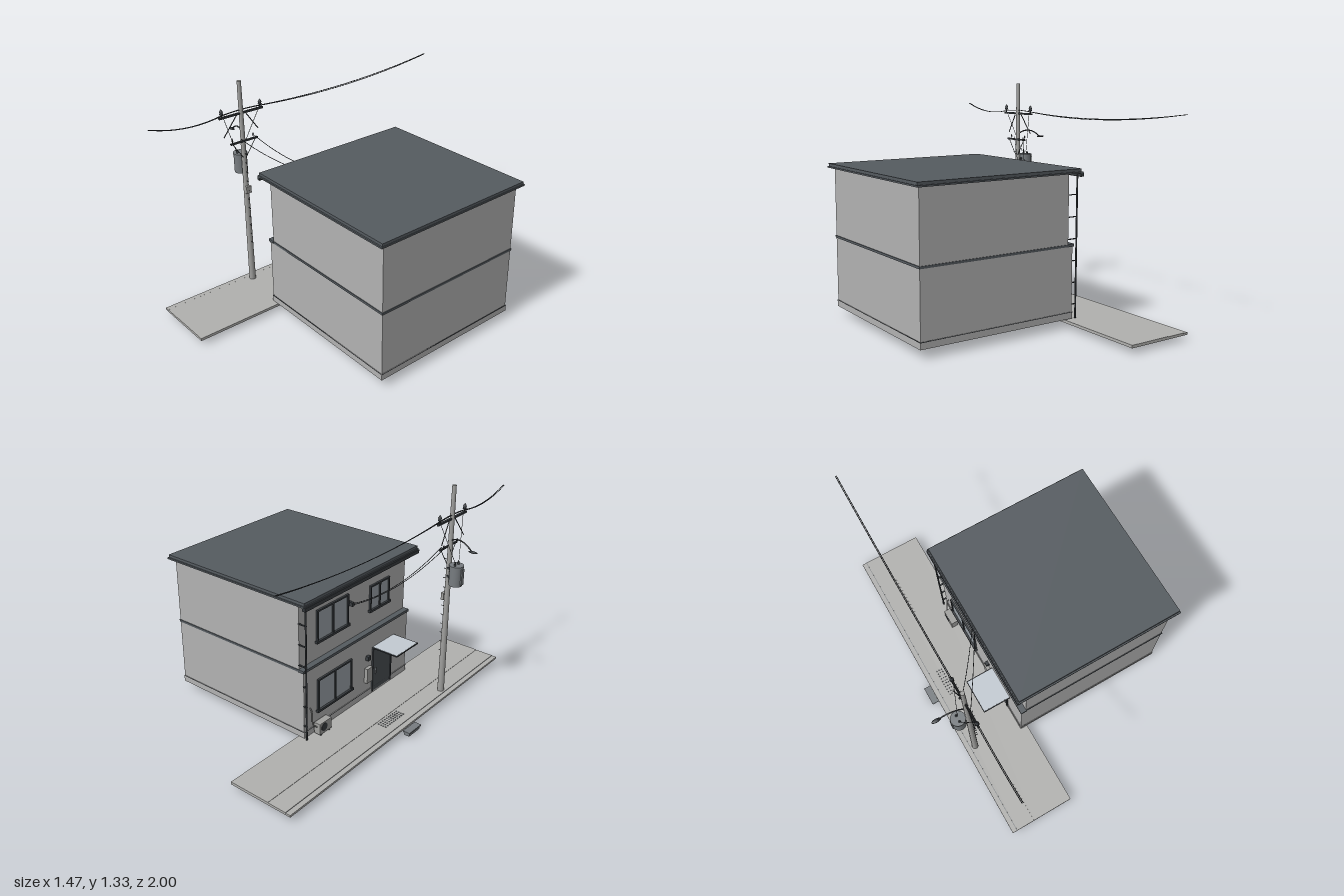
import * as THREE from 'three';

export function createModel() {
  const model = new THREE.Group();
  const mat = (name, color) => Object.assign(new THREE.MeshStandardMaterial({ color }), { name });
  const wall = mat('wall', 0xb2b2b2);
  const concrete = mat('concrete', 0xb0b0ae);
  const roofing = mat('roofing', 0x555b60);
  const metal = mat('dark metal', 0x383c40);
  const poleGrey = mat('pole grey', 0xa0a09e);
  const steel = mat('painted steel', 0x777c80);
  const glass = mat('glass', 0x9aa2a8);
  const sheet = mat('awning sheet', 0xc2cad2);
  const doorGrey = mat('door grey', 0x4a4f53);

  const add = (name, geo, m, parent = model) => {
    const mesh = new THREE.Mesh(geo, m);
    mesh.name = name;
    parent.add(mesh);
    return mesh;
  };
  const box = (name, m, x0, x1, y0, y1, z0, z1, parent) => {
    const mesh = add(name, new THREE.BoxGeometry(x1 - x0, y1 - y0, z1 - z0), m, parent);
    mesh.position.set((x0 + x1) / 2, (y0 + y1) / 2, (z0 + z1) / 2);
    return mesh;
  };
  const cyl = (name, m, x, y, z, h, rBottom, rTop = rBottom, parent = model) => {
    const mesh = add(name, new THREE.CylinderGeometry(rTop, rBottom, h, 16), m, parent);
    mesh.position.set(x, y + h / 2, z);
    return mesh;
  };
  const tube = (name, m, points, r, parent) => add(name, new THREE.TubeGeometry(
    new THREE.CatmullRomCurve3(points.map(p => new THREE.Vector3(...p))), 32, r, 6), m, parent);
  // wire hanging between two points with a parabolic sag
  const wire = (name, a, b, sag, r = 0.002) => {
    const points = [];
    for (let i = 0; i <= 10; i++) {
      const t = i / 10;
      const p = a.map((v, k) => v + (b[k] - v) * t);
      p[1] -= 4 * sag * t * (1 - t);
      points.push(p);
    }
    tube(name, metal, points, r);
  };
  const group = name => {
    const g = new THREE.Group();
    g.name = name;
    model.add(g);
    return g;
  };

  // House body: the street wall of the upper floor steps back
  const house = group('house');
  box('plinth', wall, -0.256, 0.709, 0.05, 0.088, -0.482, 0.482, house);
  box('lowerFloor', wall, -0.252, 0.706, 0.088, 0.458, -0.479, 0.479, house);
  box('upperFloor', wall, -0.222, 0.706, 0.458, 0.86, -0.479, 0.479, house);
  box('plinthJoint', metal, -0.257, 0.71, 0.085, 0.088, -0.483, 0.483, house);
  box('floorBand', roofing, -0.256, 0.71, 0.456, 0.469, -0.483, 0.483, house);
  box('streetLedge', roofing, -0.258, -0.22, 0.456, 0.472, -0.486, 0.486, house);

  // Roof slab with a narrower top course
  box('roofFascia', roofing, -0.29, 0.734, 0.859, 0.868, -0.515, 0.515, house);
  box('roofTop', roofing, -0.285, 0.73, 0.868, 0.884, -0.507, 0.507, house);

  // Rain gutter and downpipe with wall clips
  box('gutter', metal, -0.297, -0.276, 0.84, 0.861, -0.512, 0.512, house);
  cyl('downpipe', metal, -0.275, 0.05, -0.484, 0.8, 0.005, 0.005, house);
  for (let i = 0; i < 6; i++) {
    const y = 0.13 + i * 0.122;
    box('pipeClip', metal, -0.277, y > 0.47 ? -0.222 : -0.252, y, y + 0.004, -0.486, -0.476, house);
  }

  // Windows: dark frame, two panes, sill
  const addWindow = (x, y0, y1, z0, z1) => {
    const g = group('window');
    const bar = 0.01;
    const out = x - 0.012;
    box('frameTop', metal, out, x, y1 - bar, y1, z0, z1, g);
    box('sill', metal, out - 0.006, x, y0 - 0.004, y0 + bar, z0 - 0.008, z1 + 0.008, g);
    const mid = (z0 + z1) / 2;
    for (const z of [z0, mid - bar / 2, z1 - bar]) box('frameBar', metal, out, x, y0, y1, z, z + bar, g);
    box('panes', glass, x - 0.005, x, y0 + bar, y1 - bar, z0 + bar, z1 - bar, g);
  };
  addWindow(-0.252, 0.17, 0.37, -0.37, -0.07);
  addWindow(-0.222, 0.575, 0.765, -0.34, -0.07);
  addWindow(-0.222, 0.58, 0.74, 0.13, 0.315);

  // Entrance door and awning
  const entrance = group('entrance');
  box('doorPanel', doorGrey, -0.257, -0.252, 0.06, 0.335, 0.14, 0.31, entrance);
  for (const z of [0.13, 0.31]) box('doorJamb', metal, -0.261, -0.252, 0.06, 0.345, z, z + 0.01, entrance);
  box('doorHead', metal, -0.261, -0.252, 0.335, 0.345, 0.13, 0.32, entrance);
  box('doorHandle', steel, -0.265, -0.257, 0.17, 0.21, 0.155, 0.161, entrance);
  box('awningSheet', sheet, -0.422, -0.252, 0.351, 0.356, 0.137, 0.341, entrance);
  box('awningFrontRail', metal, -0.427, -0.421, 0.349, 0.355, 0.132, 0.346, entrance);
  for (const z of [0.131, 0.341]) box('awningSideRail', metal, -0.427, -0.252, 0.349, 0.355, z, z + 0.006, entrance);

  // Wall fittings and outdoor unit
  box('meterBox', poleGrey, -0.274, -0.252, 0.15, 0.245, 0.06, 0.11);
  box('doorLamp', metal, -0.272, -0.252, 0.295, 0.322, 0.07, 0.095);
  box('outdoorUnit', poleGrey, -0.306, -0.265, 0.055, 0.122, -0.41, -0.31);
  for (const z of [-0.4, -0.33]) box('unitFoot', metal, -0.304, -0.266, 0.045, 0.055, z, z + 0.01);
  const fan = cyl('unitFan', metal, -0.3065, 0.089, -0.372, 0.003, 0.025);
  fan.rotation.z = Math.PI / 2;
  tube('unitPipe', poleGrey, [[-0.285, 0.1, -0.41], [-0.275, 0.12, -0.43], [-0.265, 0.2, -0.43], [-0.252, 0.22, -0.43]], 0.004);

  // Pavement: lower kerb, gutter line, slab, tactile studs and drain
  box('kerb', concrete, -0.611, -0.583, 0.03, 0.042, -1, 1);
  box('kerbJoint', steel, -0.584, -0.58, 0.03, 0.041, -1, 1);
  box('pavingStrip', concrete, -0.58, -0.465, 0.03, 0.044, -1, 1);
  box('pavement', concrete, -0.465, -0.211, 0.03, 0.046, -1, 1);
  for (let i = 0; i < 4; i++) for (let j = 0; j < 10; j++) {
    cyl('tactileStud', steel, -0.53 + i * 0.016, 0.044, -0.105 + j * 0.019, 0.004, 0.004, 0.003);
  }
  box('drainBox', steel, -0.648, -0.613, 0, 0.018, -0.045, 0.06);
  box('drainCover', steel, -0.653, -0.61, 0.018, 0.026, -0.05, 0.066);

  // Utility pole with step bolts
  const px = -0.551, pz = 0.43;
  cyl('utilityPole', poleGrey, px, 0.044, pz, 1.281, 0.02, 0.012);
  for (let i = 0; i < 11; i++) {
    const bolt = cyl('stepBolt', metal, px + (i % 2 ? 0.02 : 0.023), 0.3 + i * 0.058, pz, 0.02, 0.002);
    bolt.rotation.z = Math.PI / 2;
  }
  box('poleBox', poleGrey, -0.538, -0.521, 0.642, 0.685, pz - 0.017, pz + 0.017);

  // Crossarms, insulators and braces
  const insulator = (y, z, s) => add('insulator', new THREE.LatheGeometry(
    [[0, 0], [0.004, 0], [0.004, 0.015], [0.012, 0.018], [0.007, 0.028], [0.011, 0.031], [0.005, 0.044], [0, 0.05]]
      .map(p => new THREE.Vector2(p[0] * s, p[1] * s)), 12), metal).position.set(px, y, z);
  box('upperCrossarm', metal, px - 0.006, px + 0.006, 1.13, 1.141, 0.285, 0.575);
  box('lowerCrossarm', metal, px + 0.008, px + 0.018, 0.965, 0.975, 0.34, 0.52);
  for (const s of [-1, 1]) {
    insulator(1.14, pz + s * 0.128, 1);
    insulator(0.974, pz + s * 0.07, 0.5);
    wire('brace', [px, 1.13, pz + s * 0.03], [px - 0.012, 1.01, pz + s * 0.115], 0, 0.003);
    wire('dropWire', [px, 1.13, pz + s * 0.115], [-0.6, 0.89, pz + s * 0.02], 0, 0.0015);
    wire('lowerBrace', [px + 0.013, 0.965, pz + s * 0.075], [px + 0.01, 0.87, pz + s * 0.012], 0, 0.002);
  }

  // Transformer hung on the street side
  const tx = -0.604, tz = 0.422;
  cyl('transformerTank', steel, tx, 0.757, tz, 0.11, 0.039);
  cyl('transformerLid', steel, tx, 0.866, tz, 0.009, 0.042);
  cyl('transformerRim', steel, tx, 0.753, tz, 0.007, 0.036);
  for (const s of [-1, 1]) cyl('bushing', metal, tx, 0.874, tz + s * 0.018, 0.02, 0.007, 0.004);
  for (const y of [0.79, 0.84]) box('transformerBracket', metal, tx, px, y, y + 0.012, tz - 0.012, tz + 0.012);
  box('coolingFin', steel, -0.648, -0.638, 0.765, 0.86, tz - 0.012, tz + 0.012);

  // Street lamp
  tube('lampArm', metal, [[px, 1.005, pz], [-0.585, 1.023, 0.42], [-0.63, 1.026, 0.412], [-0.67, 1.01, 0.406], [-0.7, 0.988, 0.403]], 0.004);
  const head = add('lampHead', new THREE.SphereGeometry(1, 16, 8), metal);
  head.scale.set(0.027, 0.006, 0.011);
  head.position.set(-0.71, 0.984, 0.402);

  // Power lines along the street and service drops to the house
  for (const [x, sag] of [[px - 0.003, 0.034], [px + 0.003, 0.038]]) {
    wire('powerLine', [x, 1.185, 1], [x, 1.15, 0.558], 0.03);
    wire('jumper', [x, 1.15, 0.558], [x, 1.15, 0.302], -0.006);
    wire('powerLine', [x, 1.15, 0.302], [x, 1.185, -1], sag);
  }
  wire('serviceDrop', [px + 0.013, 0.985, 0.36], [-0.25, 0.71, -0.07], 0.06);
  wire('serviceDrop', [px + 0.013, 0.985, 0.45], [-0.25, 0.698, -0.05], 0.06);
  box('serviceBracket', metal, -0.255, -0.222, 0.692, 0.716, -0.068, -0.052);

  return model;
}
